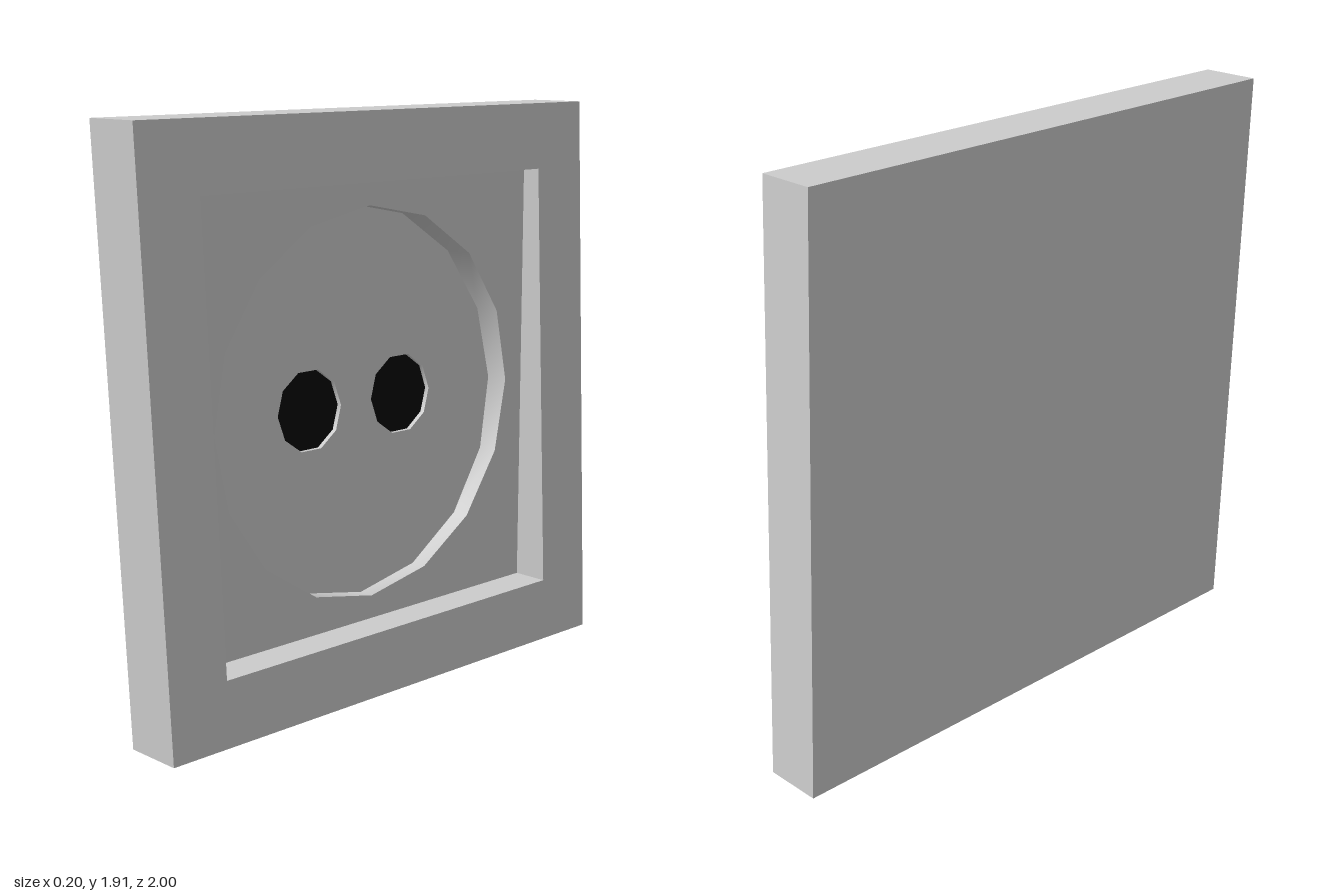
import * as THREE from 'three';
import { toCreasedNormals } from 'three/addons/utils/BufferGeometryUtils.js';

const SIZE = 1.91, MID = SIZE / 2, OPENING = 1.47;
const BACK = -0.1, FRONT = 0.1, PLATE = -0.093, FLOOR = -0.075;
const SOCKETS = [-0.195, 0.215];
const SLANT = 0.09 / SIZE;

const square = (s, Type = THREE.Shape) => new Type([[-1, -1], [1, -1], [1, 1], [-1, 1]]
  .map(([x, y]) => new THREE.Vector2(x * s / 2, y * s / 2)));

const ngon = (r, sides, cx = 0, start = 0) => new THREE.Path(
  Array.from({ length: sides }, (_, i) => {
    const a = start + (i / sides) * Math.PI * 2;
    return new THREE.Vector2(cx + r * Math.cos(a), r * Math.sin(a));
  }));

// Turn a layer to face +x, lift it onto the ground and lean it along z
function place(geometry) {
  geometry.rotateY(Math.PI / 2).translate(0, MID, 0);
  const lean = new THREE.Matrix4().set(
    1, 0, 0, 0,
    0, 1, 0, 0,
    0, SLANT, 1, -SLANT * MID,
    0, 0, 0, 1);
  return geometry.applyMatrix4(lean);
}

// Extruded layer between two depths, with optional holes
function layer(shape, from, to, holes = []) {
  shape.holes.push(...holes);
  const g = new THREE.ExtrudeGeometry(shape, { depth: to - from, bevelEnabled: false });
  return g.translate(0, 0, from);
}

export function createModel() {
  const group = new THREE.Group();
  const grey = new THREE.MeshStandardMaterial({ color: 0xcccccc });
  const black = new THREE.MeshStandardMaterial({ color: 0x050505 });

  const add = (name, geometry, material = grey) => {
    const mesh = new THREE.Mesh(toCreasedNormals(place(geometry), 0.7), material);
    mesh.name = name;
    group.add(mesh);
  };

  // Closed back and square outer frame
  add('backPlate', layer(square(SIZE), BACK, PLATE));
  add('frame', layer(square(SIZE), PLATE, FRONT, [square(OPENING, THREE.Path)]));

  // Recessed panel: its face tilts, deeper at the bottom than at the top
  const panel = layer(square(OPENING), FLOOR, 0, [ngon(0.655, 16)]);
  const p = panel.attributes.position;
  for (let i = 0; i < p.count; i++) {
    if (p.getZ(i) > FLOOR / 2) p.setZ(i, 0.005 + 0.0415 * p.getY(i));
  }
  add('recessedPanel', panel);

  // Floor of the round recess, pierced by two sockets
  add('recessFloor', layer(square(OPENING), PLATE, FLOOR,
    SOCKETS.map((c) => ngon(0.137, 10, c))));

  // Black bottoms of the sockets
  SOCKETS.forEach((c, i) => add(i ? 'rearSocket' : 'frontSocket',
    new THREE.CircleGeometry(0.137, 10).translate(c, 0, PLATE + 0.002), black));

  return group;
}
